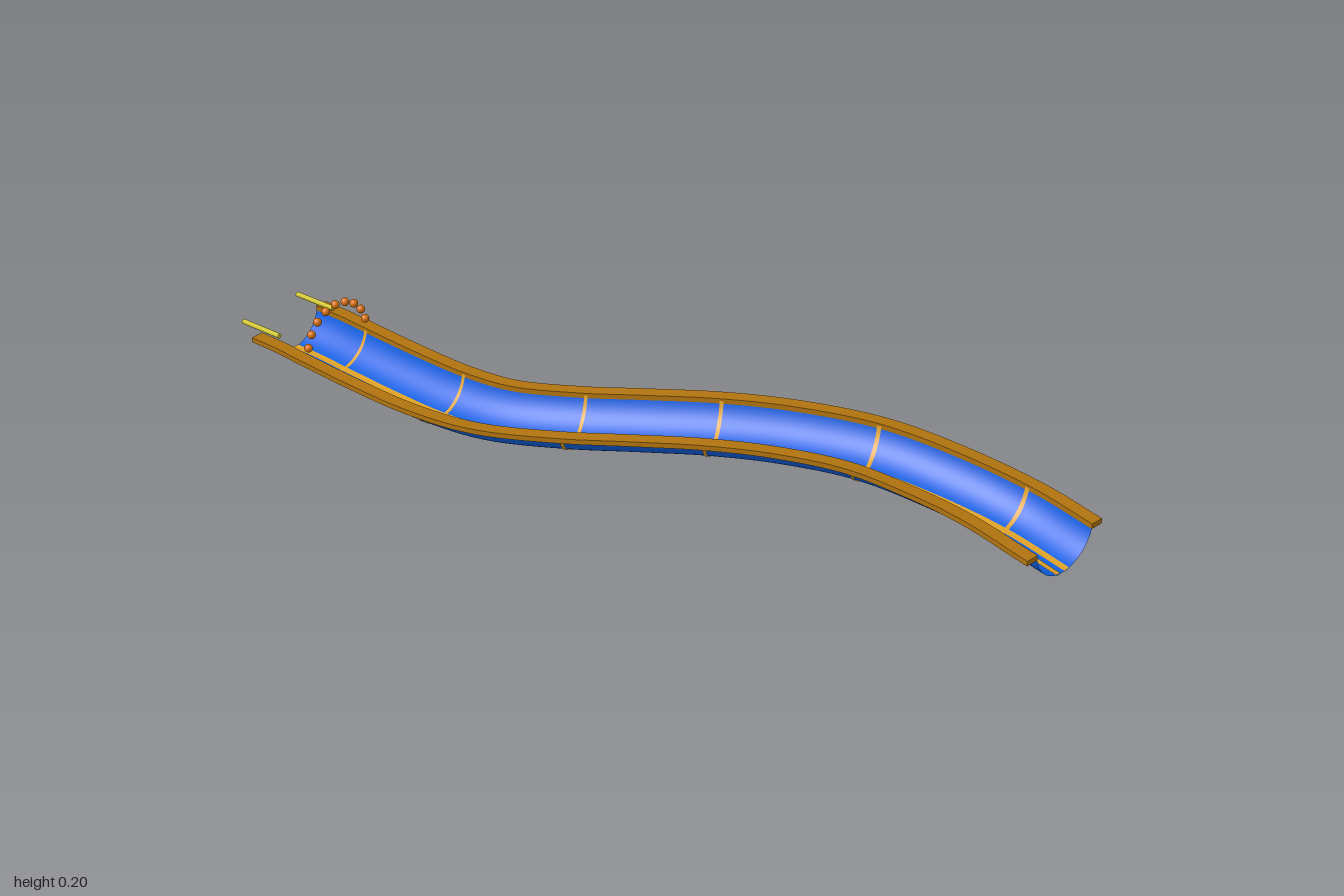
import * as THREE from 'three';

const material = (name, color) => {
  const m = new THREE.MeshStandardMaterial({ color, side: THREE.DoubleSide });
  m.name = name;
  return m;
};

// Centre line of the trough, at rim height
const path = new THREE.CatmullRomCurve3([
  [-0.94, 0.088, 0.152], [-0.86, 0.088, 0.154], [-0.775, 0.087, 0.16], [-0.6, 0.084, 0.169],
  [-0.45, 0.083, 0.171], [-0.3, 0.087, 0.155], [-0.13, 0.103, 0.1], [0.02, 0.12, 0.035],
  [0.165, 0.133, -0.032], [0.31, 0.137, -0.095], [0.48, 0.132, -0.152], [0.64, 0.115, -0.178],
  [0.805, 0.094, -0.185], [0.968, 0.078, -0.16],
].map(p => new THREE.Vector3(...p)));
path.arcLengthDivisions = 600;

// Fraction along the path at a given x
function fractionAt(x) {
  let a = 0, b = 1;
  for (let i = 0; i < 24; i++) {
    const m = (a + b) / 2;
    if (path.getPointAt(m).x < x) a = m; else b = m;
  }
  return (a + b) / 2;
}

// Point at fraction u, shifted sideways and vertically from the centre line
function place(u, side, height) {
  const p = path.getPointAt(u), t = path.getTangentAt(u);
  const len = Math.hypot(t.x, t.z);
  return [p.x - t.z / len * side, p.y + height, p.z + t.x / len * side];
}

// Sweeps an open profile of [side, height] points along part of the path
function sweep(profile, u0 = 0, u1 = 1, steps = 120) {
  const positions = [], index = [], n = profile.length;
  for (let i = 0; i <= steps; i++) {
    const u = u0 + (u1 - u0) * i / steps;
    for (const [s, h] of profile) positions.push(...place(u, s, h));
  }
  for (let i = 0; i < steps; i++) {
    for (let j = 0; j < n - 1; j++) {
      const a = i * n + j, b = a + n;
      index.push(a, a + 1, b, b, a + 1, b + 1);
    }
  }
  const g = new THREE.BufferGeometry();
  g.setAttribute('position', new THREE.Float32BufferAttribute(positions, 3));
  g.setIndex(index);
  g.computeVertexNormals();
  return g;
}

// Circular trough section between two angles measured from the bottom
const RADIUS = 0.09, HALF = THREE.MathUtils.degToRad(80);
function arc(radius, a0, a1, n) {
  const points = [];
  for (let i = 0; i <= n; i++) {
    const a = a0 + (a1 - a0) * i / n;
    points.push([radius * Math.sin(a), RADIUS * Math.cos(HALF) - radius * Math.cos(a)]);
  }
  return points;
}

export function createModel() {
  const model = new THREE.Group();
  const blue = material('blue', 0x1060e0);
  const bronze = material('bronze', 0xb0730f);
  const gold = material('gold', 0xdc9f24);
  const orange = material('orange', 0xd87010);
  const yellow = material('yellow', 0xcfc326);

  const add = (name, geometry, mat, parent = model) => {
    const mesh = new THREE.Mesh(geometry, mat);
    mesh.name = name;
    parent.add(mesh);
    return mesh;
  };

  // Half-pipe shell
  add('trough', sweep(arc(RADIUS, -HALF, HALF, 32)), blue);

  // Flat ledges along both edges, each with four creased sides and end caps
  for (const side of [1, -1]) {
    const rim = new THREE.Group();
    rim.name = side > 0 ? 'frontRim' : 'backRim';
    model.add(rim);
    const c = [[0.087, -0.006], [0.119, -0.006], [0.119, 0.006], [0.087, 0.006]]
      .map(([s, h]) => [s * side, h]);
    c.forEach((p, i) => add('rimFace', sweep([p, c[(i + 1) % 4]]), bronze, rim));
    for (const u of [0, 1]) {
      const cap = new THREE.BufferGeometry();
      cap.setAttribute('position', new THREE.Float32BufferAttribute(c.flatMap(p => place(u, ...p)), 3));
      cap.setIndex([0, 1, 2, 0, 2, 3]);
      cap.computeVertexNormals();
      add('rimEnd', cap, bronze, rim);
    }
  }

  // Paired lane stripes and cross bands, on the inside and outside of the shell
  for (const radius of [RADIUS - 0.0018, RADIUS + 0.0018]) {
    for (const side of [1, -1]) {
      add('laneStripe', sweep(arc(radius, side * 0.07, side * 0.24, 4)), gold);
    }
    for (const x of [-0.775, -0.45, -0.12, 0.165, 0.48, 0.805]) {
      const u = fractionAt(x);
      add('crossBand', sweep(arc(radius, -HALF, HALF, 32), u - 0.0022, u + 0.0022, 1), gold);
    }
  }

  // Beaded arch over the entrance
  const arch = new THREE.Group();
  arch.name = 'beadArch';
  model.add(arch);
  const beadGeometry = new THREE.SphereGeometry(0.01, 16, 12);
  for (let i = 0; i < 9; i++) {
    const a = THREE.MathUtils.degToRad(13 + 19.25 * i);
    add('bead', beadGeometry, orange, arch)
      .position.set(-0.775, 0.0935 + 0.0955 * Math.sin(a), 0.16 + 0.0955 * Math.cos(a));
  }

  // Entry rails
  const railGeometry = new THREE.CylinderGeometry(0.006, 0.006, 0.118, 12).rotateZ(Math.PI / 2);
  for (const z of [0.064, 0.24]) add('entryRail', railGeometry, yellow).position.set(-0.941, 0.105, z);

  return model;
}
